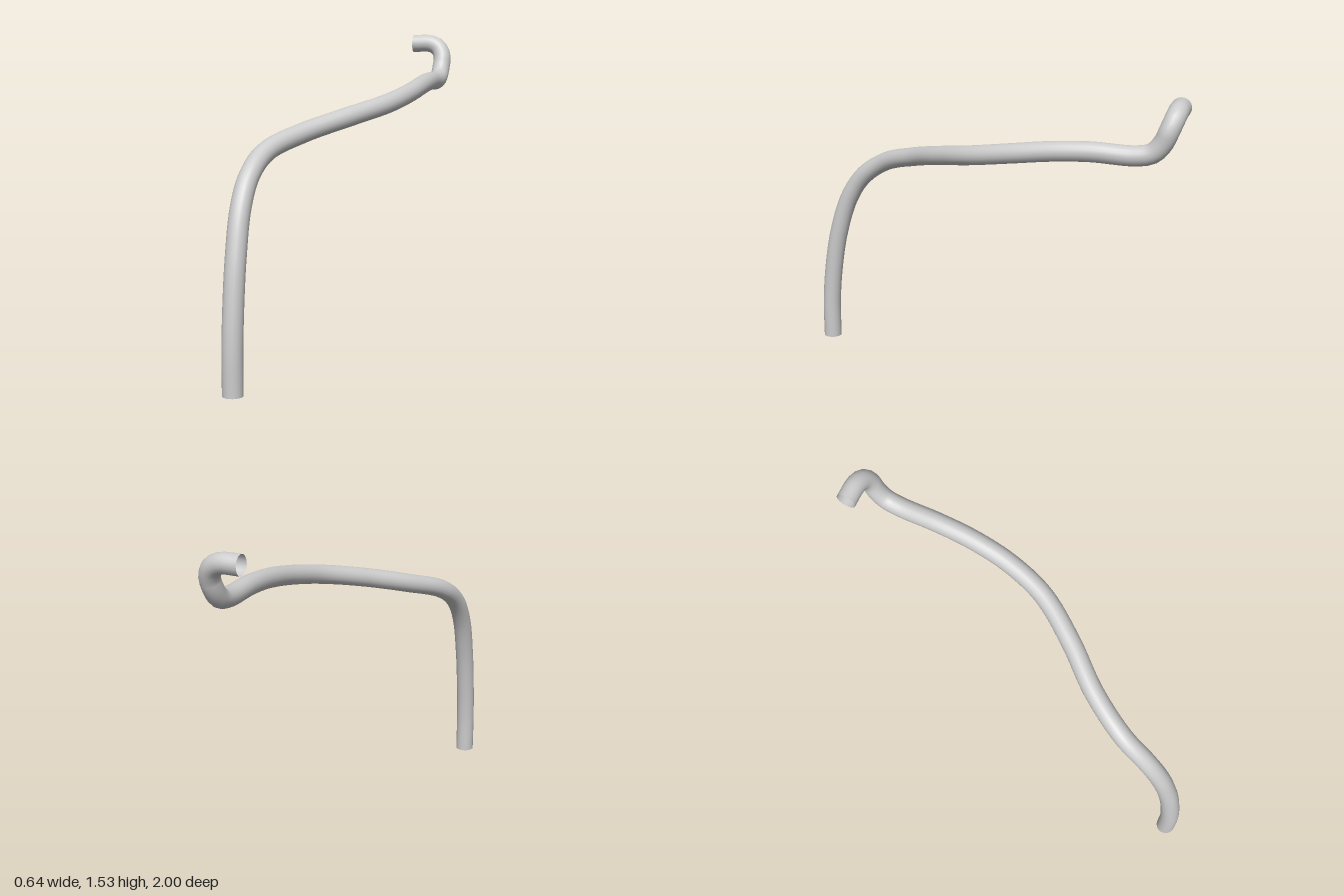
import * as THREE from 'three';

export function createModel() {
  const group = new THREE.Group();
  group.name = 'bentPipe';

  // Centreline: upright leg, sweeping S-bend to the back, hooked end
  const points = [
    [-0.277, 0, 0.953], [-0.277, 0.2, 0.95], [-0.277, 0.4, 0.93], [-0.277, 0.6, 0.893],
    [-0.277, 0.8, 0.826], [-0.268, 0.93, 0.737], [-0.235, 1.025, 0.6], [-0.12, 1.095, 0.4],
    [0.045, 1.157, 0.2], [0.178, 1.206, 0], [0.24, 1.245, -0.2], [0.263, 1.275, -0.4],
    [0.267, 1.287, -0.58], [0.267, 1.283, -0.78], [0.268, 1.3, -0.855], [0.27, 1.35, -0.9],
    [0.271, 1.405, -0.924], [0.25, 1.45, -0.941], [0.205, 1.476, -0.95], [0.105, 1.477, -0.951],
  ].map((p) => new THREE.Vector3(...p));
  const path = new THREE.CatmullRomCurve3(points, false, 'centripetal');

  // Open-ended tube
  const pipe = new THREE.Mesh(
    new THREE.TubeGeometry(path, 120, 0.047, 20, false),
    new THREE.MeshStandardMaterial({ color: 0xcccccc, side: THREE.DoubleSide })
  );
  pipe.name = 'pipe';
  group.add(pipe);
  return group;
}
